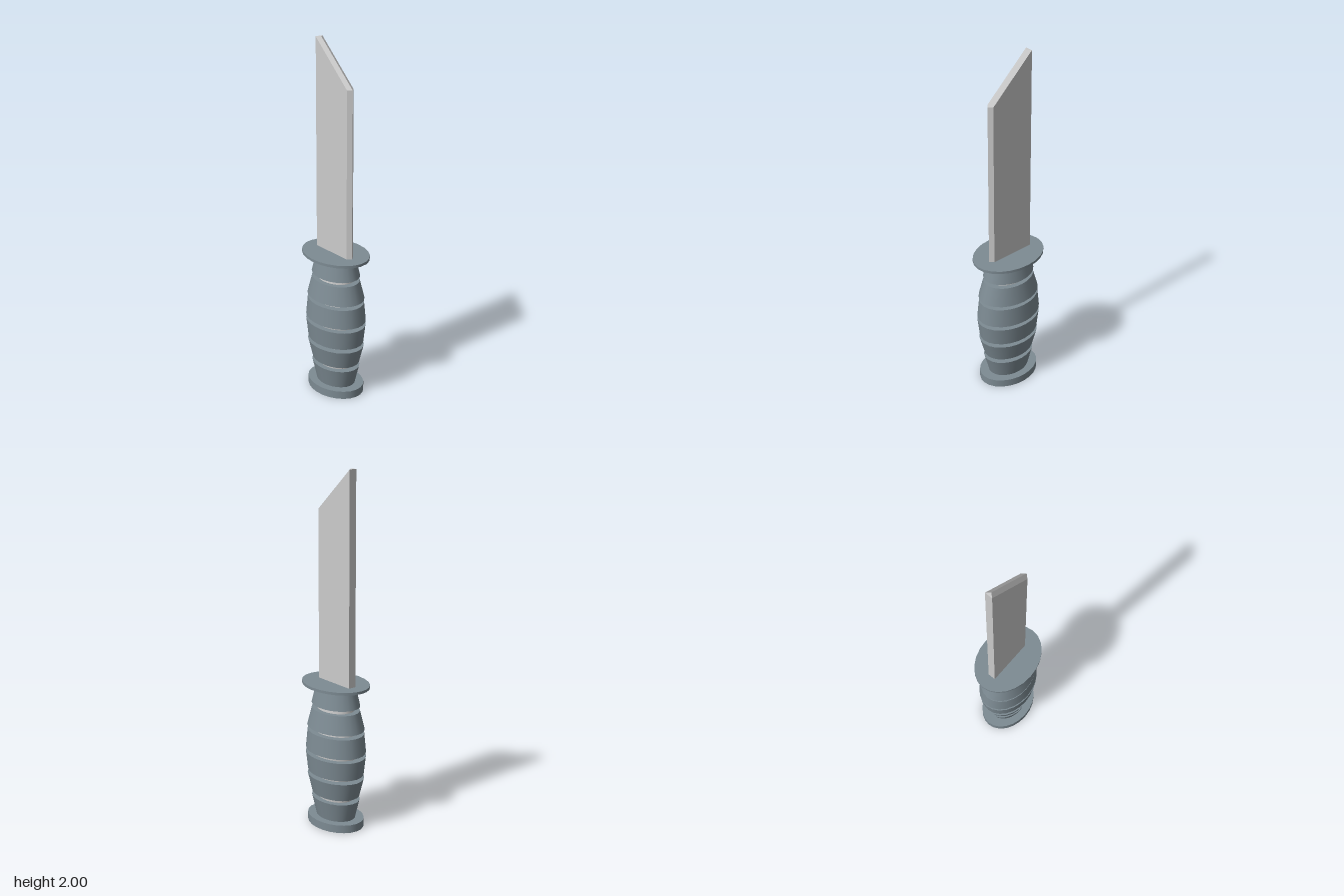
import * as THREE from 'three';

const grey = new THREE.MeshStandardMaterial({ color: 0xcccccc, flatShading: true });
const core = new THREE.MeshStandardMaterial({ color: 0xcccccc });
const slate = new THREE.MeshStandardMaterial({ color: 0x7d8b93 });
const DEPTH = 4 / 3; // handle sections are ellipses, deeper than wide

// Elliptical 24-sided drum between two heights; radii are half-widths in x
function drum(name, y0, y1, r0, r1, material = slate) {
  const geometry = new THREE.CylinderGeometry(r1, r0, y1 - y0, 24);
  geometry.scale(1, 1, DEPTH);
  geometry.translate(0, (y0 + y1) / 2, 0);
  const mesh = new THREE.Mesh(geometry, material);
  mesh.name = name;
  return mesh;
}

// Blade: bevelled cutting edge at +z, flat spine at -z, slanted ridged point
function blade() {
  const w = 0.022, back = -0.14, shoulder = 0.12, edge = 0.14;
  const base = 0.82, low = 1.765, top = 2;
  const p = [
    [-w, base, back], [w, base, back], [w, base, shoulder], [0, base, edge], [-w, base, shoulder],
    [-w, top, back], [w, top, back], [w, low, shoulder], [0, low, edge], [-w, low, shoulder],
    [0, top, back + 0.02], // front of the small flat at the tip
  ];
  const faces = [
    [0, 5, 6, 1],             // spine
    [1, 6, 7, 2],             // left side
    [0, 4, 9, 5],             // right side
    [2, 7, 8, 3], [3, 8, 9, 4], // cutting bevels
    [8, 7, 6, 10], [8, 10, 5, 9], // sloping point
    [5, 10, 6],               // tip flat
    [0, 1, 2, 3, 4],          // underside
  ];
  const positions = [];
  for (const f of faces)
    for (let i = 1; i < f.length - 1; i++)
      positions.push(...p[f[0]], ...p[f[i]], ...p[f[i + 1]]);
  const geometry = new THREE.BufferGeometry();
  geometry.setAttribute('position', new THREE.Float32BufferAttribute(positions, 3));
  geometry.computeVertexNormals();
  const mesh = new THREE.Mesh(geometry, grey);
  mesh.name = 'blade';
  return mesh;
}

export function createModel() {
  const model = new THREE.Group();
  model.name = 'knife';
  model.add(blade());
  model.add(drum('guard', 0.81, 0.825, 0.163, 0.163));
  model.add(drum('pommel', 0, 0.045, 0.137, 0.137));

  // Tapered grip rings: bottom, top, lower and upper half-width
  const grip = new THREE.Group();
  grip.name = 'grip';
  const rings = [
    [0.045, 0.155, 0.095, 0.117],
    [0.18, 0.285, 0.116, 0.138],
    [0.307, 0.413, 0.136, 0.146],
    [0.436, 0.545, 0.146, 0.137],
    [0.568, 0.674, 0.139, 0.116],
    [0.7, 0.81, 0.117, 0.095],
  ];
  rings.forEach((r, i) => grip.add(drum(`gripRing${i + 1}`, ...r)));

  // Inner core showing in the grooves
  grip.add(drum('lowerCore', 0.04, 0.425, 0.075, 0.115, core));
  grip.add(drum('upperCore', 0.425, 0.812, 0.115, 0.075, core));
  model.add(grip);
  return model;
}
